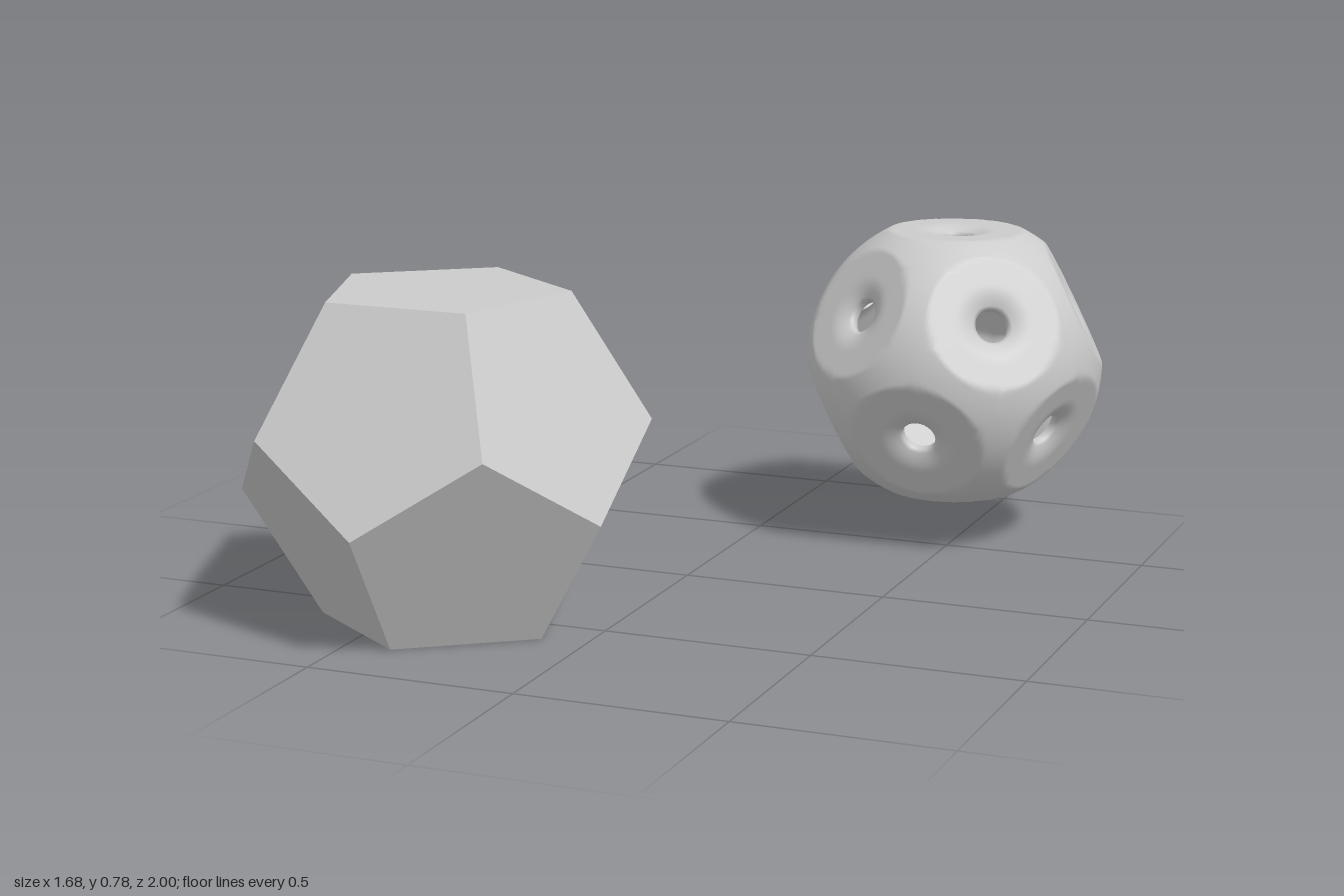
import * as THREE from 'three';
import { mergeVertices } from 'three/addons/utils/BufferGeometryUtils.js';

const PHI = (1 + Math.sqrt(5)) / 2;
const HOLE = 0.042;   // radius of the holes
const SEGMENTS = 60;  // steps around each face
const RINGS = 22;     // steps from hole to face border

// Normal and two in-plane axes for each of the 12 faces; e1 points at a corner
function faceFrames() {
  const up = new THREE.Vector3(0, 1, 0);
  const frames = [];
  const add = (n, e1) => frames.push({ n, e1, e2: n.clone().cross(e1) });
  for (const s of [1, -1]) {
    add(up.clone().multiplyScalar(s), new THREE.Vector3(0, 0, s));
    for (let i = 0; i < 5; i++) {
      const a = i * Math.PI * 0.4;
      const n = new THREE.Vector3(2 * Math.sin(a), s, -2 * s * Math.cos(a)).normalize();
      add(n, up.clone().multiplyScalar(-s).addScaledVector(n, s * n.y).normalize());
    }
  }
  return frames;
}

// Point of one wall: face plane limited by a sphere, dished towards the hole
function wallPoint(frame, angle, t, plane, sphere, dish) {
  const fifth = Math.PI * 0.4;
  const offset = (angle % fifth) - fifth / 2;
  const border = plane / PHI / Math.cos(offset);
  const r = THREE.MathUtils.lerp(HOLE, border, t);
  const p = frame.n.clone().multiplyScalar(plane)
    .addScaledVector(frame.e1, r * Math.cos(angle))
    .addScaledVector(frame.e2, r * Math.sin(angle));
  if (p.length() > sphere) p.setLength(sphere);
  const k = THREE.MathUtils.clamp((0.1 - r) / (0.1 - HOLE), 0, 1);
  return p.addScaledVector(frame.n, -dish * k * k);
}

// Hollow rounded shell: inner wall, hole rim and outer wall in one grid per face
function shellGeometry() {
  const positions = [], index = [];
  const rows = 2 * (RINGS + 1);
  for (const frame of faceFrames()) {
    const base = positions.length / 3;
    for (let j = 0; j < rows; j++) {
      const inner = j <= RINGS;
      const t = (inner ? RINGS - j : j - RINGS - 1) / RINGS;
      for (let k = 0; k < SEGMENTS; k++) {
        const a = (k / SEGMENTS) * Math.PI * 2;
        const p = inner ? wallPoint(frame, a, t, 0.305, 0.345, 0.01)
          : wallPoint(frame, a, t, 0.33, 0.37, 0.018);
        positions.push(p.x, p.y, p.z);
      }
    }
    for (let j = 0; j < rows - 1; j++) {
      for (let k = 0; k < SEGMENTS; k++) {
        const a = base + j * SEGMENTS + k;
        const b = base + j * SEGMENTS + (k + 1) % SEGMENTS;
        index.push(a, a + SEGMENTS, b + SEGMENTS, a, b + SEGMENTS, b);
      }
    }
  }
  const geometry = new THREE.BufferGeometry();
  geometry.setAttribute('position', new THREE.Float32BufferAttribute(positions, 3));
  geometry.setIndex(index);
  const merged = mergeVertices(geometry, 1e-5);
  merged.computeVertexNormals();
  return merged;
}

export function createModel() {
  const group = new THREE.Group();
  group.name = 'dodecahedronPair';

  // Plain solid resting on one face
  const inradius = 0.386;
  const solidGeometry = new THREE.DodecahedronGeometry(inradius * 1.2584);
  solidGeometry.rotateX(-Math.atan(1 / PHI)).rotateY(Math.PI);
  const solid = new THREE.Mesh(solidGeometry,
    new THREE.MeshStandardMaterial({ color: 0xcccccc, flatShading: true }));
  solid.name = 'solidDodecahedron';
  solid.position.set(-0.39, inradius, 0.52);
  group.add(solid);

  // Rounded hollow shell with a hole in every face
  const shell = new THREE.Mesh(shellGeometry(),
    new THREE.MeshStandardMaterial({ color: 0xcccccc }));
  shell.name = 'roundedHollowDodecahedron';
  shell.position.set(0.47, 0.45, -0.63);
  group.add(shell);

  return group;
}
